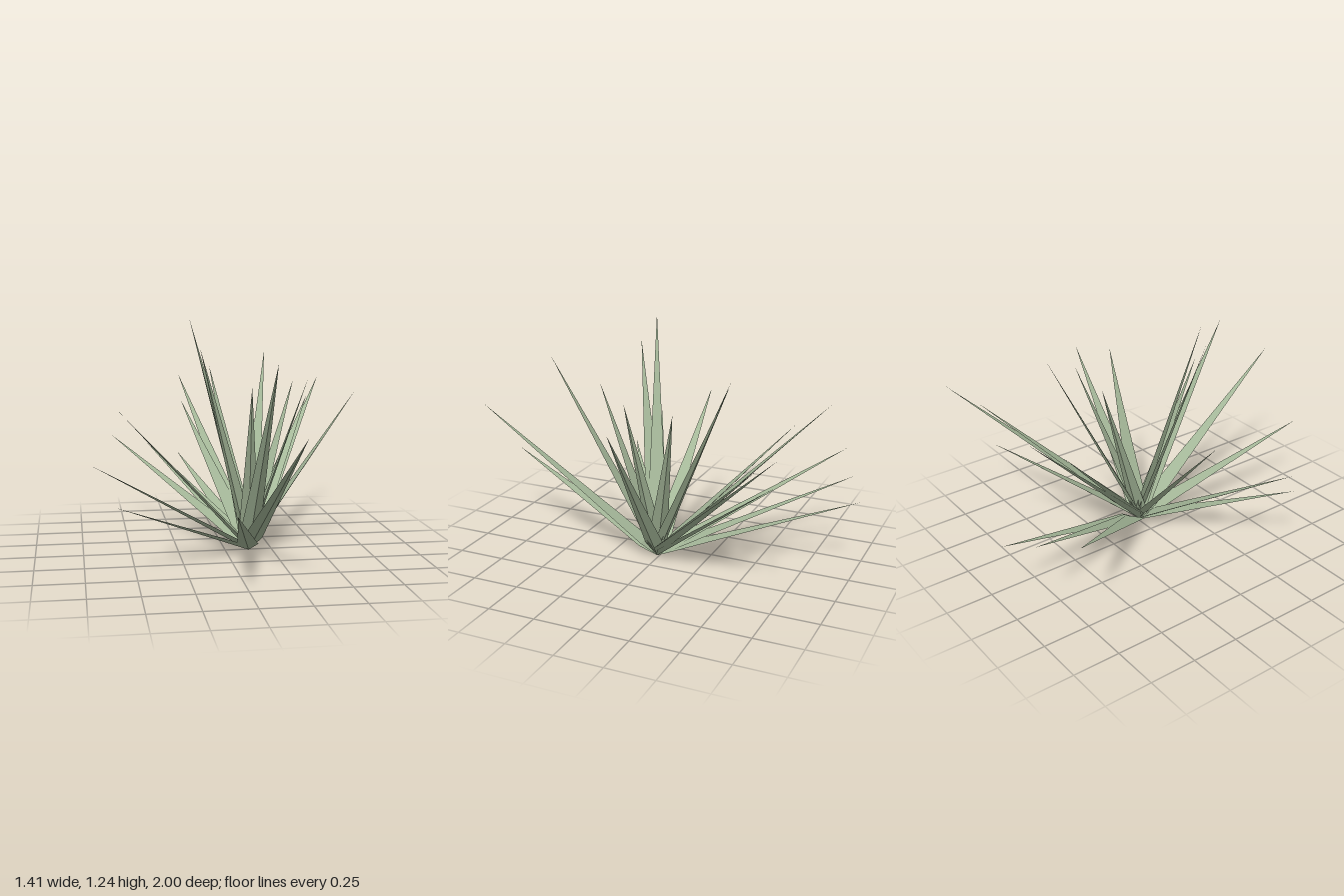
import * as THREE from 'three';

// Tip of every blade; all grow from one root point
const ROOT = new THREE.Vector3(0.125, 0, 0.012);
const TIPS = [
  [-0.705, 0.54, 0.357], [-0.605, 0.36, 0.48], [-0.555, 0.755, -0.02],
  [-0.56, 0.51, -0.82], [-0.34, 0.44, -0.925], [-0.15, 0.37, -1.0],
  [-0.16, 0.87, -0.83], [-0.165, 0.735, -0.64], [-0.04, 0.96, -0.33],
  [-0.205, 1.24, 0.16], [-0.16, 1.095, 0.23], [-0.09, 0.41, 0.975],
  [0.08, 0.91, 0.36], [0.163, 1.045, 0.60], [0.215, 0.75, 1.0],
  [0.29, 1.03, -0.445], [0.405, 0.89, -0.20], [0.435, 0.925, 0.045],
  [0.395, 0.60, -0.72], [0.595, 0.745, -0.69], [0.69, 0.845, -0.82],
  [0.705, 0.855, 0.0],
];

// Slender spike: flat upper face over a straight keel running from root to tip
function bladeGeometry(tip) {
  const up = new THREE.Vector3(0, 1, 0);
  const along = tip.clone().sub(ROOT);
  const side = along.clone().cross(up).normalize();
  const normal = side.clone().cross(along).normalize();
  const middle = ROOT.clone().addScaledVector(along, 0.085).addScaledVector(normal, 0.02);
  const right = middle.clone().addScaledVector(side, 0.055);
  const left = middle.clone().addScaledVector(side, -0.055);
  const faces = [
    ROOT, right, left, right, tip, left,
    ROOT, tip, right, ROOT, left, tip,
  ];
  const geometry = new THREE.BufferGeometry().setFromPoints(faces);
  geometry.computeVertexNormals();
  return geometry;
}

export function createModel() {
  const plant = new THREE.Group();
  plant.name = 'spikyPlant';
  const leafGreen = new THREE.MeshStandardMaterial({
    color: 0xa6b99a, side: THREE.DoubleSide, flatShading: true,
  });
  leafGreen.name = 'leafGreen';

  TIPS.forEach((p, i) => {
    const blade = new THREE.Mesh(bladeGeometry(new THREE.Vector3(...p)), leafGreen);
    blade.name = `blade${i + 1}`;
    plant.add(blade);
  });
  return plant;
}
